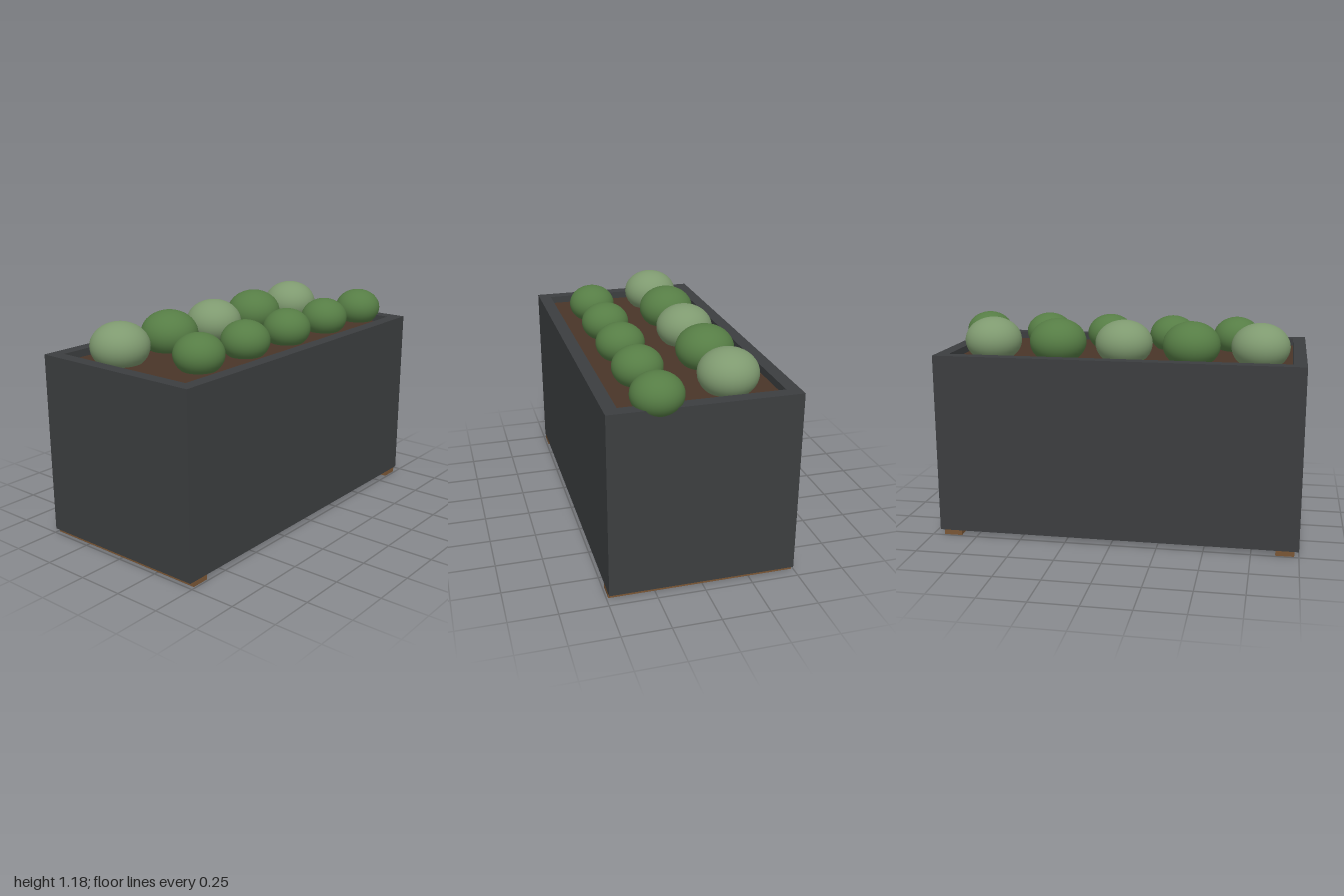
import * as THREE from 'three';

const material = (color) => new THREE.MeshStandardMaterial({ color });

export function createModel() {
  const group = new THREE.Group();
  const charcoal = material(0x3c3e40);
  const earth = material(0x4a3528);
  const wood = material(0x7a5635);
  const green = material(0x567d45);
  const paleGreen = material(0x7f9a70);

  const add = (name, geometry, mat, x, y, z) => {
    const mesh = new THREE.Mesh(geometry, mat);
    mesh.name = name;
    mesh.position.set(x, y, z);
    group.add(mesh);
    return mesh;
  };

  const cx = -0.02; // planter centre; the last shrub overhangs to the left
  const rectangle = (Path, w, d) => new Path([
    new THREE.Vector2(-w / 2, -d / 2), new THREE.Vector2(w / 2, -d / 2),
    new THREE.Vector2(w / 2, d / 2), new THREE.Vector2(-w / 2, d / 2),
  ]);

  // Four walls, open above and below
  const outline = rectangle(THREE.Shape, 1.96, 0.98);
  outline.holes.push(rectangle(THREE.Path, 1.82, 0.84));
  const walls = new THREE.ExtrudeGeometry(outline, { depth: 0.978, bevelEnabled: false });
  walls.rotateX(-Math.PI / 2);
  add('planterWalls', walls, charcoal, cx, 0.027, 0);

  // Soil slab just below the rim
  add('soil', new THREE.BoxGeometry(1.82, 0.06, 0.84), earth, cx, 0.935, 0);

  // Wooden runners under both ends
  for (const side of [-1, 1]) {
    add(side < 0 ? 'rightRunner' : 'leftRunner',
      new THREE.BoxGeometry(0.098, 0.027, 0.98), wood, cx + side * 0.907, 0.0135, 0);
  }

  // Two staggered rows of slightly flattened round shrubs
  const ball = new THREE.SphereGeometry(1, 32, 20);
  for (let i = 0; i < 5; i++) {
    const back = add('backShrub' + (i + 1), ball, i % 2 ? green : paleGreen,
      -0.758 + i * 0.368, 1.051, -0.185);
    back.scale.set(0.156, 0.126, 0.156);
    const front = add('frontShrub' + (i + 1), ball, green,
      -0.61 + i * 0.369, 1.044, 0.22);
    front.scale.set(0.133, 0.109, 0.133);
  }
  return group;
}
